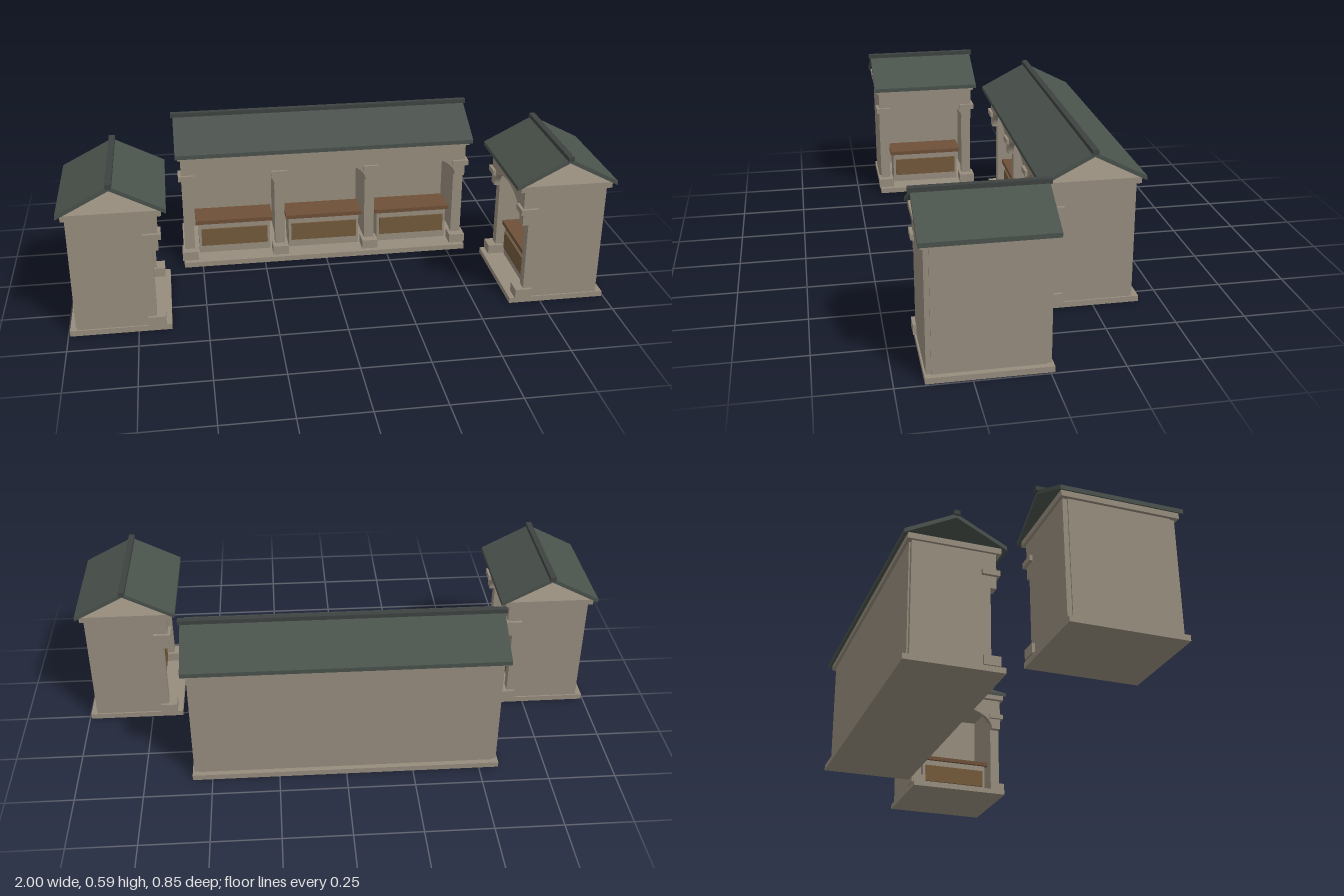
import * as THREE from 'three';

const mat = (name, color) => {
  const m = new THREE.MeshStandardMaterial({ color });
  m.name = name;
  return m;
};

const PITCH = 0.365;  // distance between pillars
const POST = 0.04;    // pillar width
const WALL = 0.017;   // wall thickness

export function createModel() {
  const stone = mat('stone', 0x978d7e);
  const slate = mat('slate', 0x4a524c);
  const ridgeDark = mat('ridge', 0x3e4341);
  const wood = mat('wood', 0x6e5038);
  const panelWood = mat('panelWood', 0x735a3b);

  // Box given by its limits on each axis
  function box(parent, name, material, [x0, x1], [y0, y1], [z0, z1]) {
    const mesh = new THREE.Mesh(new THREE.BoxGeometry(x1 - x0, y1 - y0, z1 - z0), material);
    mesh.position.set((x0 + x1) / 2, (y0 + y1) / 2, (z0 + z1) / 2);
    mesh.name = name;
    parent.add(mesh);
  }
  const around = (c, w) => [c - w / 2, c + w / 2];

  // Wall strip with one elliptical arch cut from its lower edge per bay
  function arcade(bays, half) {
    const s = new THREE.Shape();
    s.moveTo(-half, 0.457);
    s.lineTo(-half, 0.32);
    for (let i = 0; i < bays; i++) {
      const c = (i - (bays - 1) / 2) * PITCH;
      const r = (PITCH - POST) / 2;
      s.lineTo(c - r, 0.32);
      s.absellipse(c, 0.325, r, 0.085, Math.PI, 0, true);
      s.lineTo(c + r, 0.32);
    }
    s.lineTo(half, 0.32);
    s.lineTo(half, 0.457);
    const geo = new THREE.ExtrudeGeometry(s, { depth: 0.022, bevelEnabled: false, curveSegments: 20 });
    const mesh = new THREE.Mesh(geo, stone);
    mesh.position.z = 0.1305;
    mesh.name = 'arcade';
    return mesh;
  }

  // Two thin slopes with open gables, ridge along x
  function roof(half) {
    const s = new THREE.Shape([
      [-0.1875, 0.47], [0, 0.567], [0.1875, 0.47],
      [0.1875, 0.486], [0, 0.583], [-0.1875, 0.486],
    ].map(p => new THREE.Vector2(...p)));
    const geo = new THREE.ExtrudeGeometry(s, { depth: 2 * half, bevelEnabled: false });
    geo.translate(0, 0, -half).rotateY(Math.PI / 2);
    const mesh = new THREE.Mesh(geo, slate);
    mesh.name = 'roof';
    return mesh;
  }

  // A stall with the given number of bays, open towards +z
  function stall(name, bays) {
    const g = new THREE.Group();
    g.name = name;
    const half = bays * PITCH / 2 + POST / 2;
    const span = e => [-half - e, half + e];

    box(g, 'base', stone, span(0.006), [0, 0.021], [-0.181, 0.1825]);
    box(g, 'backWall', stone, span(-WALL), [0.021, 0.457], [-0.161, -0.144]);
    box(g, 'cornice', stone, span(0.01), [0.457, 0.479], [-0.172, 0.17]);
    g.add(arcade(bays, half));
    g.add(roof(half + 0.019));
    box(g, 'ridgeCap', ridgeDark, span(0.027), [0.576, 0.593], [-0.011, 0.011]);

    // Pillars with plinth and capital, each with a wall behind
    for (let i = 0; i <= bays; i++) {
      const c = (i - bays / 2) * PITCH;
      const edge = i === 0 ? -1 : i === bays ? 1 : 0;
      const wallX = c + edge * (POST - WALL) / 2;
      box(g, 'pillar', stone, around(c, POST), [0.021, 0.457], [0.1, 0.1305]);
      box(g, 'plinth', stone, around(c, 0.063), [0.021, 0.057], [0.1, 0.1625]);
      box(g, 'capital', stone, around(c, 0.063), [0.367, 0.388], [0.098, 0.1635]);
      box(g, edge ? 'sideWall' : 'partition', stone, around(wallX, WALL), [0.021, 0.457], [-0.156, 0.1]);
    }

    // Counter in every bay
    for (let i = 0; i < bays; i++) {
      const c = (i - (bays - 1) / 2) * PITCH;
      box(g, 'counterBody', stone, around(c, 0.288), [0.021, 0.151], [0, 0.1]);
      box(g, 'counterPanel', panelWood, around(c, 0.267), [0.053, 0.126], [0.1, 0.106]);
      box(g, 'counterTop', wood, around(c, 0.31), [0.151, 0.167], [-0.01, 0.111]);
    }
    return g;
  }

  const model = new THREE.Group();
  model.name = 'marketStalls';

  const main = stall('mainStall', 3);
  main.position.z = -0.2375;
  model.add(main);

  // Single stalls on both sides, facing inwards
  for (const side of [-1, 1]) {
    const s = stall(side > 0 ? 'leftStall' : 'rightStall', 1);
    s.position.set(side * 0.8125, 0, 0.1935);
    s.rotation.y = -side * Math.PI / 2;
    model.add(s);
  }
  return model;
}
